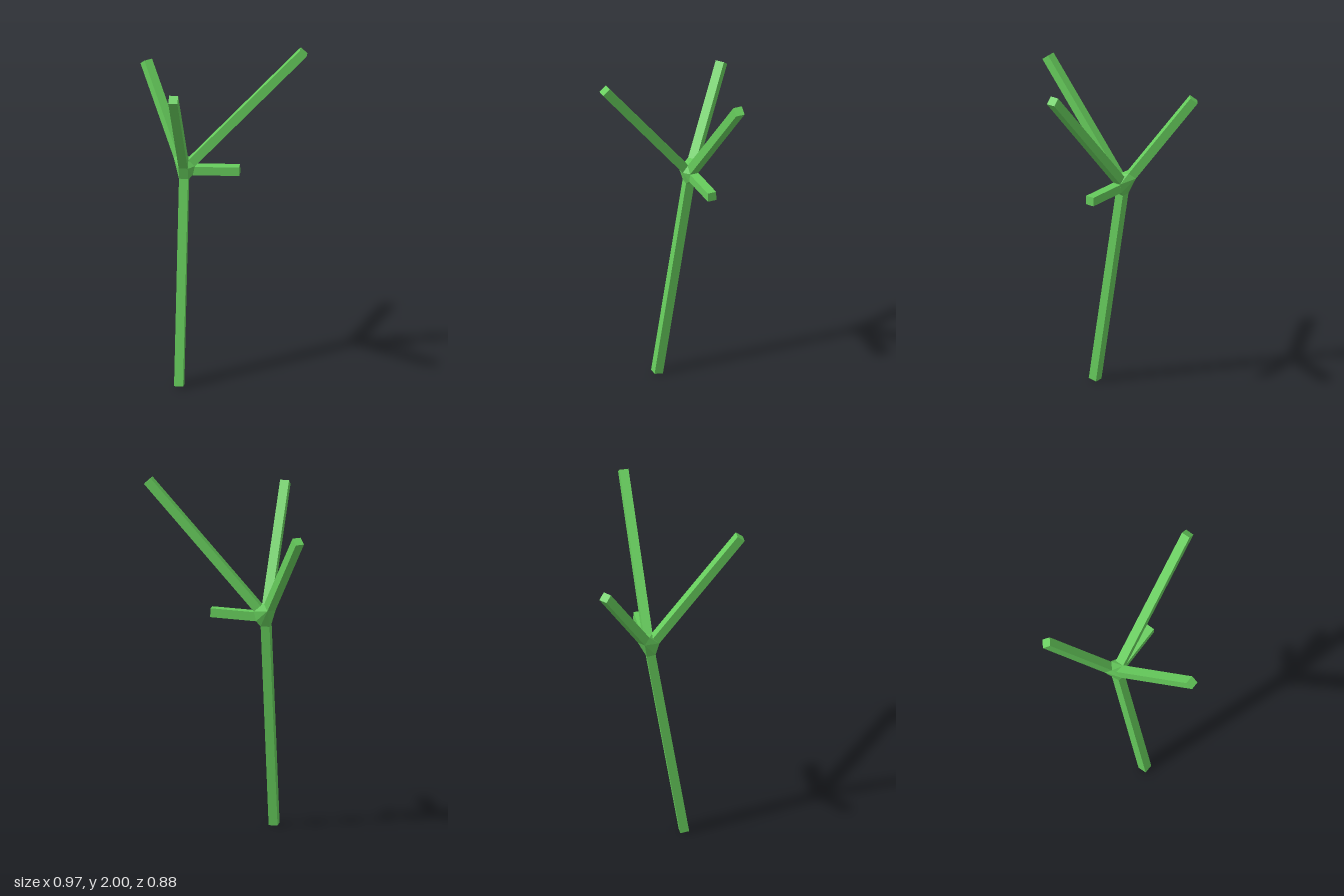
import * as THREE from 'three';
import { ConvexGeometry } from 'three/addons/geometries/ConvexGeometry.js';

const WIDTH = 0.051;
const HUB = new THREE.Vector3(-0.205, 1.235, -0.103);

// name, far end, distance from the hub at which the square strut starts
const STRUTS = [
  ['trunk', [-0.21, 0.004, 0.095], 0.05],
  ['leftBranch', [0.464, 1.983, -0.105], 0.065],
  ['frontBranch', [-0.205, 1.886, 0.417], 0.055],
  ['backBranch', [-0.455, 1.747, -0.407], 0.08],
  ['sideTwig', [0.106, 1.247, -0.1], 0.05],
];

export function createModel() {
  const group = new THREE.Group();
  const material = new THREE.MeshStandardMaterial({ color: 0x66cc5c, flatShading: true });
  const hubPoints = [];

  for (const [name, end, startDistance] of STRUTS) {
    const tip = new THREE.Vector3(...end);
    const dir = tip.clone().sub(HUB).normalize();
    const start = HUB.clone().addScaledVector(dir, startDistance);

    // square section with one pair of sides level
    const across = new THREE.Vector3(0, 1, 0).cross(dir).normalize();
    const over = across.clone().cross(dir);
    const geometry = new THREE.BoxGeometry(WIDTH, start.distanceTo(tip), WIDTH);
    geometry.applyMatrix4(new THREE.Matrix4().makeBasis(across, dir, over)
      .setPosition(start.clone().lerp(tip, 0.5)));

    const strut = new THREE.Mesh(geometry, material);
    strut.name = name;
    group.add(strut);

    // corners of the inner end, to be wrapped by the joint
    for (const [a, b] of [[-1, -1], [1, -1], [1, 1], [-1, 1]]) {
      hubPoints.push(start.clone()
        .addScaledVector(across, a * WIDTH / 2)
        .addScaledVector(over, b * WIDTH / 2));
    }
  }

  // faceted joint where all struts meet
  const joint = new THREE.Mesh(new ConvexGeometry(hubPoints), material);
  joint.name = 'joint';
  group.add(joint);
  return group;
}
